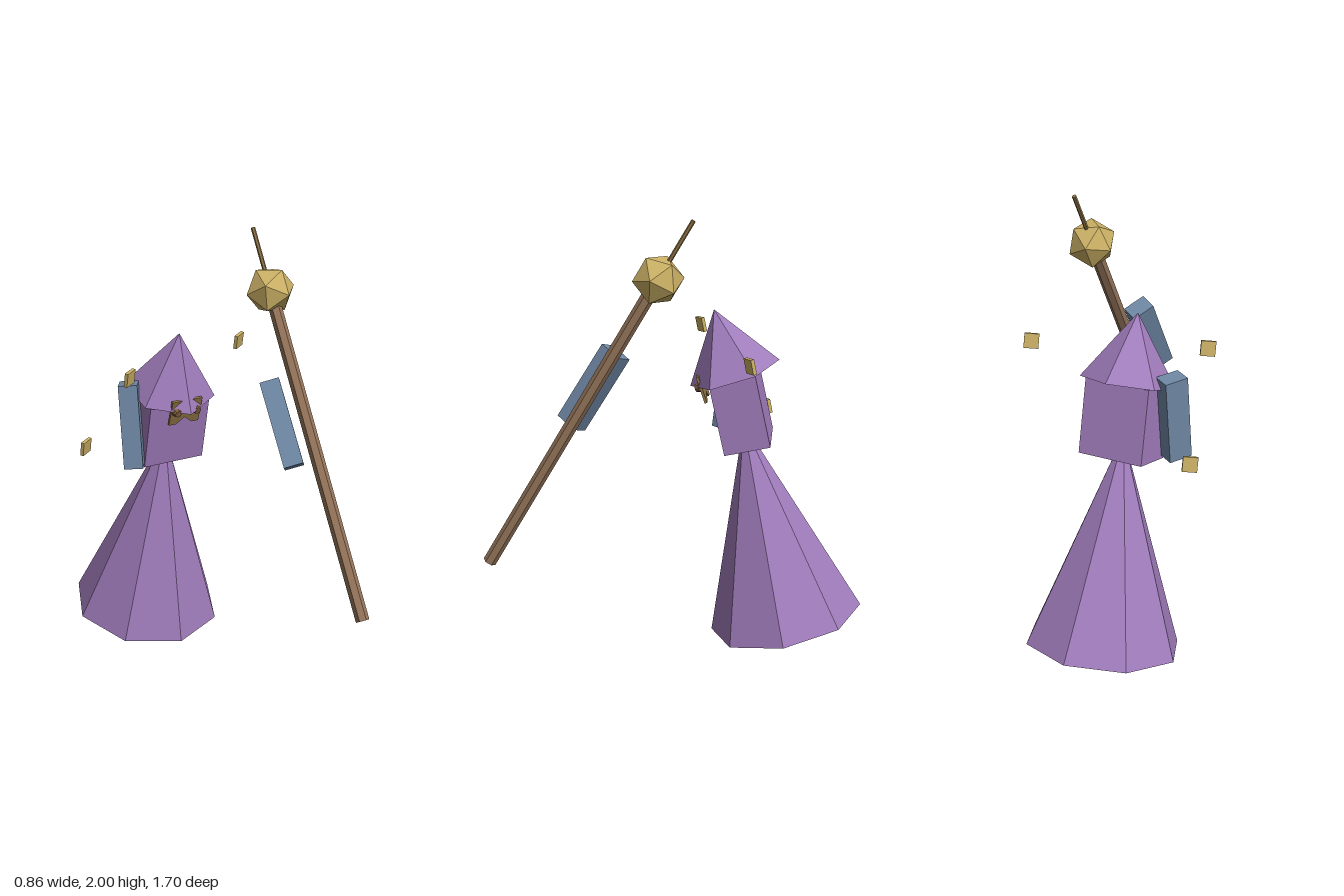
import * as THREE from 'three';

const flat = (name, color) => {
  const m = new THREE.MeshStandardMaterial({ color, flatShading: true });
  m.name = name;
  return m;
};

export function createModel() {
  const purple = flat('purple cloth', 0xa07cbb);
  const slate = flat('slate blue', 0x7089a6);
  const gold = flat('gold', 0xcbb065);
  const wood = flat('wood', 0x94745a);
  const bronze = flat('bronze', 0x8f7446);
  const copper = flat('copper', 0x83603f);

  const model = new THREE.Group();
  model.name = 'floatingMage';

  function add(parent, name, geometry, material, pos, rot = [0, 0, 0]) {
    const mesh = new THREE.Mesh(geometry, material);
    mesh.name = name;
    mesh.position.set(...pos);
    mesh.rotation.set(...rot);
    parent.add(mesh);
    return mesh;
  }

  // Forward-leaning robe, torso and hood
  const lean = 0.217, cx = -0.032;
  add(model, 'robe', new THREE.ConeGeometry(0.355, 0.965, 8), purple,
    [cx, 0.078 + 0.4825 * Math.cos(lean), -0.502 + 0.4825 * Math.sin(lean)], [lean, 0, 0]);
  add(model, 'torso', new THREE.BoxGeometry(0.307, 0.335, 0.21), purple,
    [cx, 1.097, -0.284], [lean, 0, 0]);
  const hood = new THREE.Group();
  hood.name = 'head';
  hood.position.set(cx, 1.255, -0.252);
  hood.rotation.x = 0.318;
  model.add(hood);
  add(hood, 'hood', new THREE.ConeGeometry(0.21, 0.304, 6), purple, [0, 0.152, 0]);

  // Mask: thin plate with a notch for the nose, and two round eyepieces
  const outline = new THREE.Shape([
    [-0.077, 0.063], [0.077, 0.063], [0.077, -0.063], [0.04, -0.063],
    [0, -0.03], [-0.04, -0.063], [-0.077, -0.063],
  ].map(([x, y]) => new THREE.Vector2(x, y)));
  add(hood, 'mask', new THREE.ExtrudeGeometry(outline, { depth: 0.012, bevelEnabled: false }),
    bronze, [0, -0.016, 0.15]);
  for (const side of [-1, 1]) {
    add(hood, 'eyepiece', new THREE.CylinderGeometry(0.017, 0.025, 0.024, 8), copper,
      [side * 0.05, -0.006, 0.172], [Math.PI / 2, 0, 0]);
  }

  // Detached arms
  const arm = new THREE.BoxGeometry(0.087, 0.387, 0.109);
  add(model, 'rightArm', arm, slate, [-0.244, 1.125, -0.229], [-0.12, -0.57, 0]);
  add(model, 'leftArm', arm, slate, [0.184, 1.23, 0.357], [-0.55, -0.57, 0]);

  // Staff: hexagonal shaft, orb and thin spike
  const staff = new THREE.Group();
  staff.name = 'staff';
  staff.position.set(0.312, 1.745, 0.055);
  staff.rotation.x = -0.532;
  model.add(staff);
  add(staff, 'staffShaft', new THREE.CylinderGeometry(0.03, 0.03, 1.51, 6), wood, [0, -0.755, 0]);
  add(staff, 'staffOrb', new THREE.IcosahedronGeometry(0.112, 0), gold, [0, 0, 0], [0, 0.3, 0]);
  add(staff, 'staffSpike', new THREE.CylinderGeometry(0.01, 0.01, 0.292, 6), bronze, [0, 0.146, 0]);

  // Floating gold tablets
  const tablet = new THREE.BoxGeometry(0.065, 0.066, 0.016);
  for (const p of [[-0.33, 1.405, -0.077], [0.397, 1.4, -0.34], [-0.4, 1.0, -0.385]]) {
    add(model, 'floatingTablet', tablet, gold, p, [0.2, 0.55, 0]);
  }

  return model;
}
